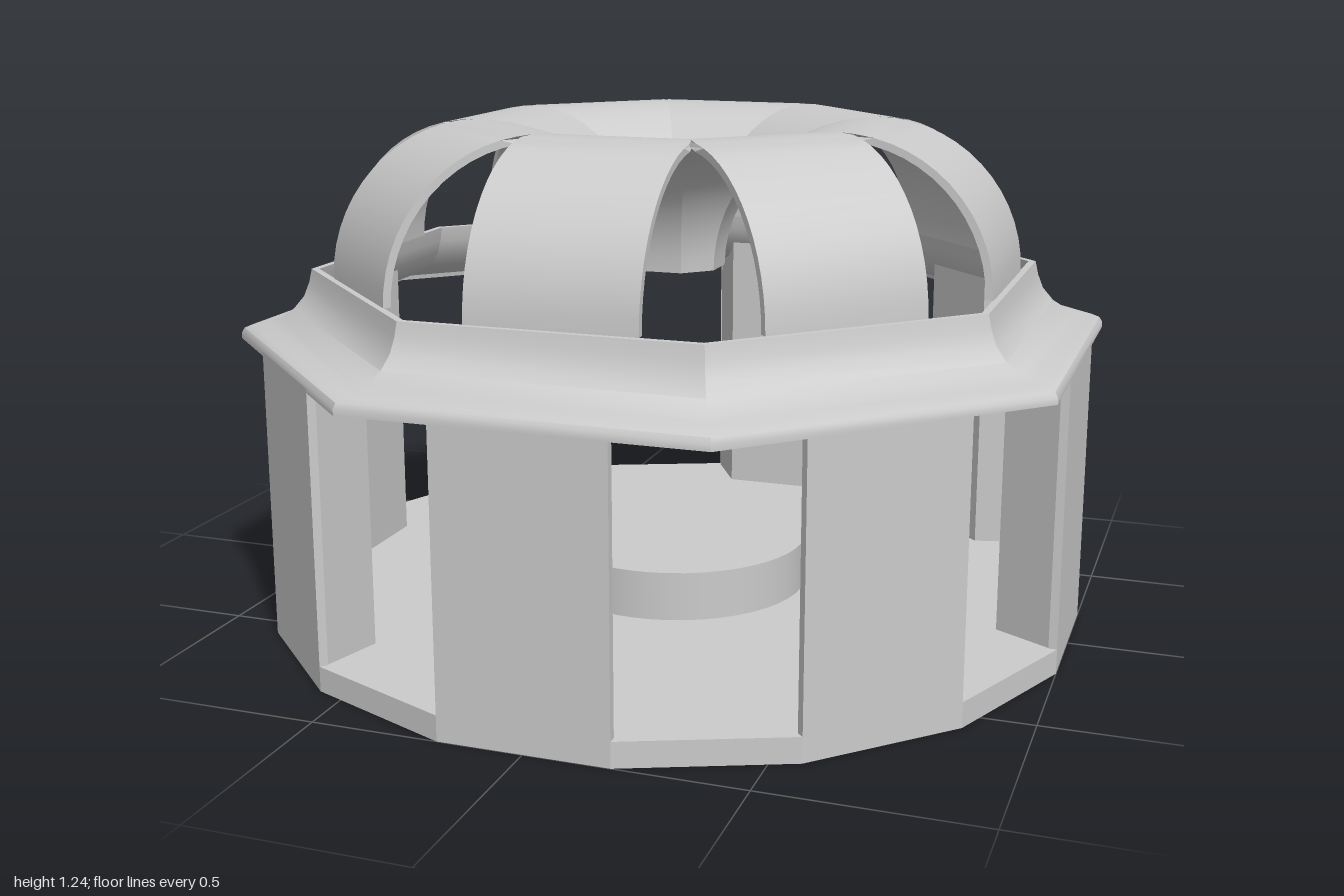
import * as THREE from 'three';
import { toCreasedNormals } from 'three/addons/utils/BufferGeometryUtils.js';

const grey = new THREE.MeshStandardMaterial({ color: 0xcccccc });
const T = Math.tan(Math.PI / 8);
const HALF = Math.tan(Math.PI / 16); // half of one side of the 16-sided plan
const FLOOR = 0.06;

function add(parent, name, geometry) {
  const mesh = new THREE.Mesh(geometry, grey);
  mesh.name = name;
  parent.add(mesh);
  return mesh;
}

// Extrude a radial section (x = radius, y = height); width depends on the radius
function radialSolid(points, halfWidth) {
  const shape = new THREE.Shape(points.map(([r, y]) => new THREE.Vector2(r, y)));
  const g = new THREE.ExtrudeGeometry(shape, { depth: 1, bevelEnabled: false });
  const p = g.attributes.position;
  for (let i = 0; i < p.count; i++) p.setZ(i, (p.getZ(i) - 0.5) * 2 * halfWidth(p.getX(i)));
  return toCreasedNormals(g, 0.5);
}

// Semicircular arch section from the cornice over to the central opening
function archSection() {
  const pts = [], n = 28, cx = 0.455, cy = 0.873;
  for (let i = 0; i <= n; i++) {
    const a = Math.PI * i / n;
    pts.push([cx + 0.365 * Math.cos(a), cy + 0.365 * Math.sin(a)]);
  }
  for (let i = n; i >= 0; i--) {
    const a = Math.PI * i / n;
    pts.push([cx + 0.347 * Math.cos(a), cy + 0.347 * Math.sin(a)]);
  }
  return pts;
}

export function createModel() {
  const model = new THREE.Group();
  model.name = 'pavilion';

  // Sixteen-sided floor slab
  const R = 1 / Math.cos(Math.PI / 16);
  const slab = new THREE.CylinderGeometry(R, R, FLOOR, 16, 1, false, Math.PI / 16);
  add(model, 'floor', toCreasedNormals(slab, 0.2)).position.y = FLOOR / 2;

  // Low round plinth in the middle
  add(model, 'plinth', new THREE.CylinderGeometry(0.33, 0.33, 0.12, 48)).position.y = FLOOR + 0.06;

  // Octagonal cornice: thin moulded shell
  const outer = [[1, 0.7], [1, 0.715], [0.993, 0.727], [0.975, 0.735], [0.94, 0.741], [0.91, 0.752],
    [0.88, 0.773], [0.855, 0.805], [0.842, 0.84], [0.835, 0.873]];
  const inner = [[0.818, 0.873], [0.825, 0.835], [0.838, 0.798], [0.867, 0.76], [0.902, 0.737],
    [0.935, 0.726], [0.968, 0.72], [0.982, 0.712], [0.985, 0.7]];
  const loop = [...outer, ...inner, outer[0]]
    .map(([r, y]) => new THREE.Vector2(r / Math.cos(Math.PI / 8), y));
  const cornice = new THREE.LatheGeometry(loop, 8, Math.PI / 8);
  add(model, 'cornice', toCreasedNormals(cornice, 0.55));

  // Eight bays: wall panel, splayed pier behind it and dome rib above
  const panel = new THREE.BoxGeometry(0.02, 0.71 - FLOOR, HALF * 2);
  const pier = radialSolid(
    [[0.985, FLOOR], [0.985, 0.705], [0.97, 0.72], [0.935, 0.728], [0.902, 0.739], [0.867, 0.762],
      [0.845, 0.79], [0.845, FLOOR]],
    r => HALF - 0.57 * (0.985 - r));
  const rib = radialSolid(archSection(), r => Math.min(HALF, r * T));
  for (let i = 0; i < 8; i++) {
    const bay = new THREE.Group();
    bay.name = 'bay';
    bay.rotation.y = i * Math.PI / 4;
    add(bay, 'wallPanel', panel).position.set(0.99, (0.71 + FLOOR) / 2, 0);
    add(bay, 'pier', pier);
    add(bay, 'domeRib', rib);
    model.add(bay);
  }
  return model;
}
